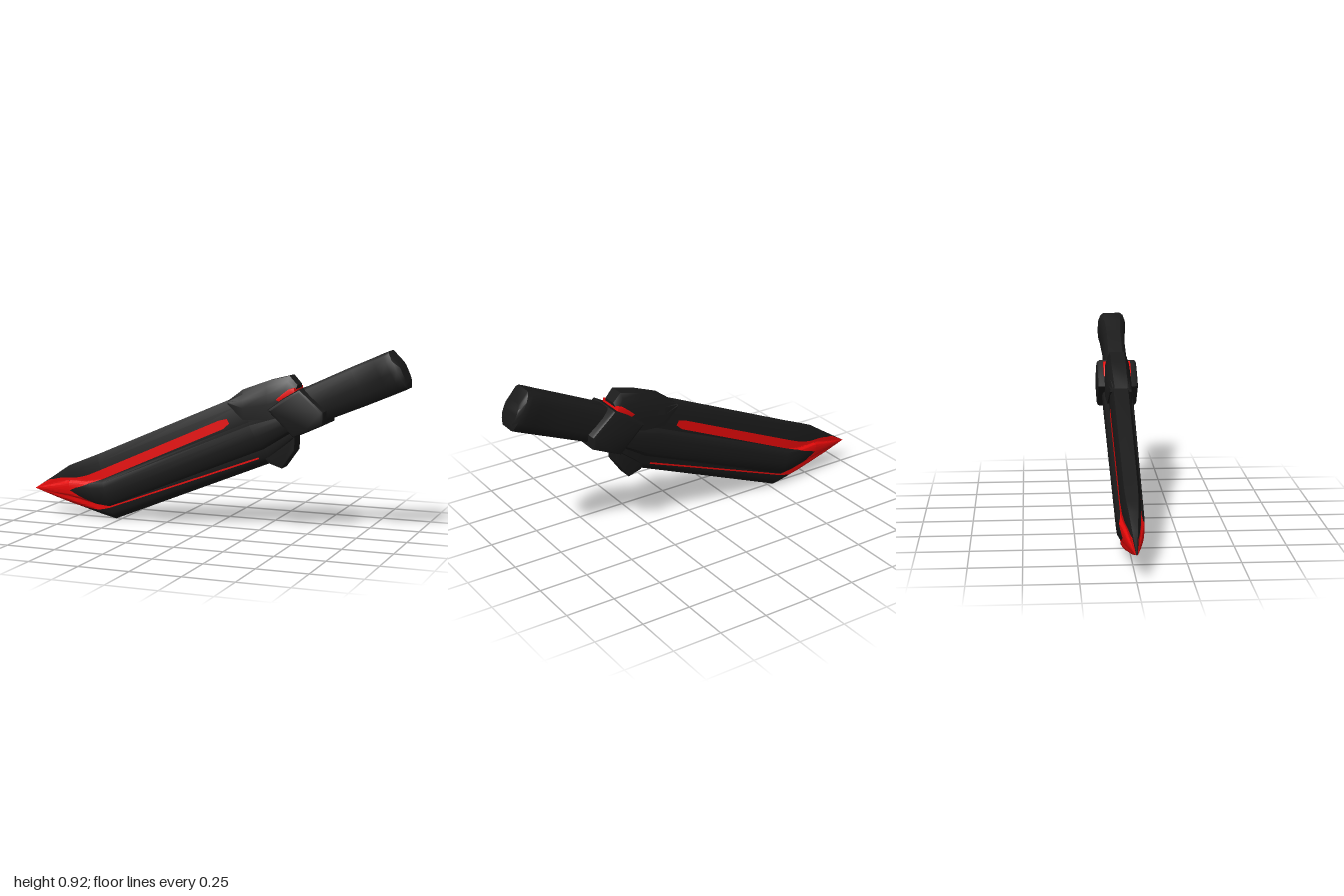
import * as THREE from 'three';
import { toCreasedNormals } from 'three/addons/utils/BufferGeometryUtils.js';

const black = new THREE.MeshStandardMaterial({ color: 0x1a1a1a });
black.name = 'matteBlack';
const red = new THREE.MeshStandardMaterial({ color: 0xec0a0a, side: THREE.DoubleSide });
red.name = 'red';

// Cross-section profiles: [height fraction, half-width fraction]
const bladeProfile = [[0, 0.15], [0.05, 0.45], [0.1, 0.63], [0.21, 0.66], [0.26, 0.9], [0.4, 1], [0.5, 1],
  [0.575, 0.94], [0.62, 0.68], [0.88, 0.68], [1, 0.48]];
const gripProfile = [[0, 0.55], [0.06, 0.78], [0.25, 0.95], [0.5, 1], [0.75, 0.98], [0.93, 0.82], [1, 0.6]];
const throatProfile = [[0, 1], [0.4, 1], [0.65, 0.92], [0.85, 0.75], [1, 0.55]];

// Sections: [bottom x, bottom y, top x, top y, half-width]
const bladeSections = [
  [-1, 0.129, -1, 0.131, 0.002],
  [-0.87, 0.09, -0.88, 0.208, 0.028],
  [-0.77, 0.063, -0.79, 0.267, 0.046],
  [-0.6, 0.018, -0.71, 0.3, 0.06],
  [-0.53, 0.003, -0.62, 0.337, 0.067],
  [0.33, 0.355, 0.14, 0.67, 0.078],
  [0.44, 0.46, 0.4, 0.7, 0.08],
];
const gripSections = [
  [0.45, 0.51, 0.4, 0.68, 0.06],
  [0.6, 0.575, 0.5, 0.735, 0.063],
  [0.8, 0.658, 0.72, 0.838, 0.061],
  [0.92, 0.71, 0.83, 0.887, 0.07],
  [0.97, 0.732, 0.88, 0.91, 0.077],
  [0.998, 0.745, 0.905, 0.921, 0.074],
  [1, 0.772, 0.955, 0.872, 0.062],
];
const throatSections = [
  [0.1, 0.635, 0.1, 0.652, 0.055],
  [0.185, 0.56, 0.175, 0.708, 0.064],
  [0.32, 0.57, 0.3, 0.755, 0.068],
  [0.38, 0.6, 0.415, 0.785, 0.068],
  [0.42, 0.61, 0.455, 0.742, 0.064],
];

function buildGeometry(points, index, crease) {
  const g = new THREE.BufferGeometry();
  g.setAttribute('position', new THREE.Float32BufferAttribute(points, 3));
  g.setIndex(index);
  return toCreasedNormals(g, crease);
}

// Closed body through mirrored cross-sections
function loft(sections, profile) {
  const ring = [...profile, ...profile.map(([t, w]) => [t, -w]).reverse()];
  const n = ring.length, points = [], index = [];
  for (const [bx, by, tx, ty, w] of sections)
    for (const [t, f] of ring) points.push(bx + (tx - bx) * t, by + (ty - by) * t, w * f);
  for (let s = 0; s < sections.length - 1; s++)
    for (let j = 0; j < n; j++) {
      const a = s * n + j, b = s * n + (j + 1) % n;
      index.push(a, a + n, b + n, a, b + n, b);
    }
  // End caps, built as strips between the two mirrored halves
  const end = (sections.length - 1) * n;
  for (let j = 0; j < profile.length - 1; j++) {
    const a = j, b = j + 1, c = n - 2 - j, d = n - 1 - j;
    index.push(a, b, c, a, c, d, end + a, end + c, end + b, end + a, end + d, end + c);
  }
  return buildGeometry(points, index, 0.7);
}

// Point on the blade side at section position s and height t
function bladePoint(s, t, side) {
  const i = Math.min(Math.floor(s), bladeSections.length - 2);
  const [bx, by, tx, ty, w] = bladeSections[i].map((v, k) => THREE.MathUtils.lerp(v, bladeSections[i + 1][k], s - i));
  const k = Math.max(1, bladeProfile.findIndex(p => p[0] >= t));
  const [t0, f0] = bladeProfile[k - 1], [t1, f1] = bladeProfile[k];
  const f = f0 + (f1 - f0) * (t - t0) / (t1 - t0);
  return [bx + (tx - bx) * t, by + (ty - by) * t, side * (w * f + 0.003)];
}

// Painted band following the blade: rows of [s, low t, high t]
function band(rows, side) {
  const across = 24, steps = 8, points = [], index = [];
  for (let r = 0; r < rows.length - 1; r++)
    for (let k = r ? 1 : 0; k <= steps; k++) {
      const [s, lo, hi] = rows[r].map((v, c) => THREE.MathUtils.lerp(v, rows[r + 1][c], k / steps));
      for (let j = 0; j <= across; j++) points.push(...bladePoint(s, lo + (hi - lo) * j / across, side));
    }
  const n = across + 1, count = points.length / 3 / n;
  for (let i = 0; i < count - 1; i++)
    for (let j = 0; j < across; j++) {
      const a = i * n + j, b = a + n;
      if (side > 0) index.push(a, b, b + 1, a, b + 1, a + 1);
      else index.push(a, b + 1, b, a, a + 1, b + 1);
    }
  return buildGeometry(points, index, 0.7);
}

// Bevelled slab centred on z = 0
function slab(outline, halfWidth, bevel) {
  const shape = new THREE.Shape(outline.map(([x, y]) => new THREE.Vector2(x, y)));
  const depth = 2 * (halfWidth - bevel);
  const g = new THREE.ExtrudeGeometry(shape, {
    depth, bevelEnabled: true, bevelSize: bevel, bevelThickness: bevel, bevelOffset: -bevel, bevelSegments: 2,
  });
  g.translate(0, 0, -depth / 2);
  return toCreasedNormals(g, 0.6);
}

export function createModel() {
  const group = new THREE.Group();
  group.name = 'knife';
  const add = (name, geometry, material) => {
    const mesh = new THREE.Mesh(geometry, material);
    mesh.name = name;
    group.add(mesh);
  };

  // Main bodies
  add('blade', loft(bladeSections, bladeProfile), black);
  add('throat', loft(throatSections, throatProfile), black);
  add('grip', loft(gripSections, gripProfile), black);
  add('guard', slab([[0.32, 0.62], [0.455, 0.492], [0.53, 0.525], [0.605, 0.56], [0.608, 0.625],
    [0.485, 0.73], [0.4, 0.68]], 0.105, 0.016), black);
  add('lowerLug', slab([[0.28, 0.39], [0.31, 0.35], [0.38, 0.328], [0.445, 0.42], [0.447, 0.49],
    [0.47, 0.53], [0.34, 0.53]], 0.045, 0.008), black);

  // Red catch showing above the guard
  add('catch', slab([[0.355, 0.668], [0.385, 0.655], [0.455, 0.7], [0.448, 0.73], [0.42, 0.722], [0.385, 0.695]],
    0.071, 0.003), red);

  // Painted tip and stripes on both sides
  for (const [label, side] of [['front', 1], ['back', -1]]) {
    add(label + 'Tip', band([[0, 0, 1], [0.7, 0, 0.95], [1, 0, 0.84], [2, 0, 0.69]], side), red);
    add(label + 'UpperStripe', band([[2, 0.38, 0.69], [2.3, 0.47, 0.69], [3, 0.59, 0.73], [4, 0.625, 0.765],
      [4.84, 0.66, 0.79], [4.89, 0.7, 0.77]], side), red);
    add(label + 'LowerStripe', band([[2, 0, 0.38], [2.4, 0.03, 0.28], [3, 0.11, 0.21], [4, 0.185, 0.208],
      [4.95, 0.105, 0.13]], side), red);
  }
  return group;
}
